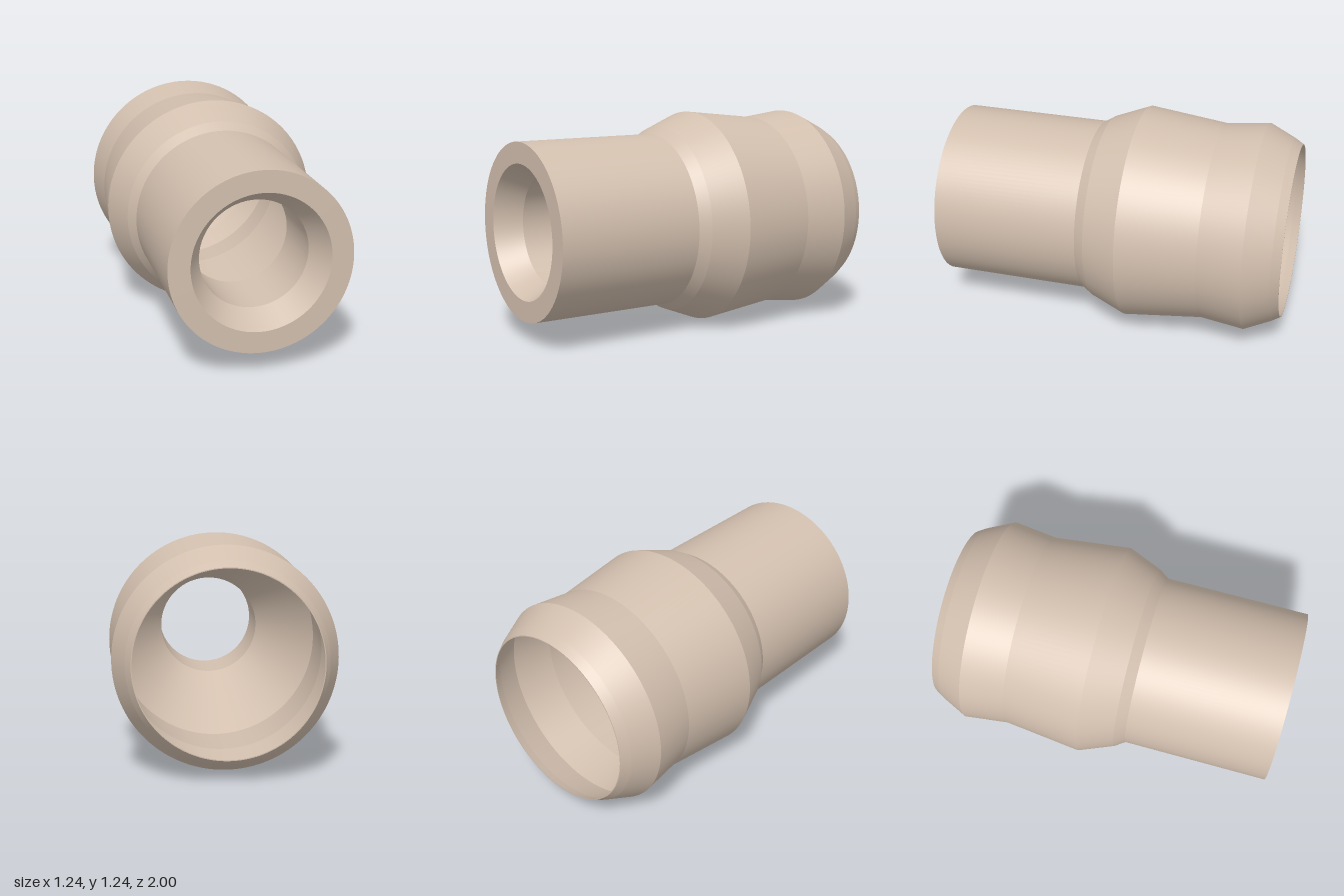
import * as THREE from 'three';
import { mergeGeometries } from 'three/addons/utils/BufferGeometryUtils.js';

const AXIS_HEIGHT = 0.62;
const SEGMENTS = 128;

// Revolves a [z, radius] profile about z, one band per pair so that ring edges stay sharp.
function revolve(profile) {
  const bands = [];
  for (let i = 0; i < profile.length - 1; i++) {
    const pair = [profile[i], profile[i + 1]].map(([z, r]) => new THREE.Vector2(r, z));
    bands.push(new THREE.LatheGeometry(pair, SEGMENTS));
  }
  return mergeGeometries(bands).rotateX(Math.PI / 2);
}

export function createModel() {
  const model = new THREE.Group();
  model.name = 'pipeFitting';
  const material = new THREE.MeshStandardMaterial({ color: 0xd2bfae, side: THREE.DoubleSide });

  // Outer profiles run towards +z, inner ones towards -z, so faces point outwards.
  const parts = {
    // bulged sleeve with a waist and a chamfered back rim
    sleeve: [[-1, 0.5], [-0.95, 0.53], [-0.8, 0.6], [-0.55, 0.57], [-0.1, 0.62], [0.1, 0.54], [0.16, 0.5]],
    // straight spigot and its flat front face
    spigot: [[0.16, 0.5], [1, 0.5], [1, 0.38]],
    // countersunk front opening and narrow bore
    bore: [[1, 0.38], [0.85, 0.3], [0.47, 0.3]],
    // funnel widening into the thin-walled socket
    socket: [[0.47, 0.3], [-0.08, 0.58], [-0.55, 0.55], [-0.8, 0.575], [-0.95, 0.518], [-1, 0.495]],
    // thin back edge
    backRim: [[-1, 0.495], [-1, 0.5]],
  };

  for (const [name, profile] of Object.entries(parts)) {
    const mesh = new THREE.Mesh(revolve(profile), material);
    mesh.name = name;
    mesh.position.y = AXIS_HEIGHT;
    model.add(mesh);
  }
  return model;
}
